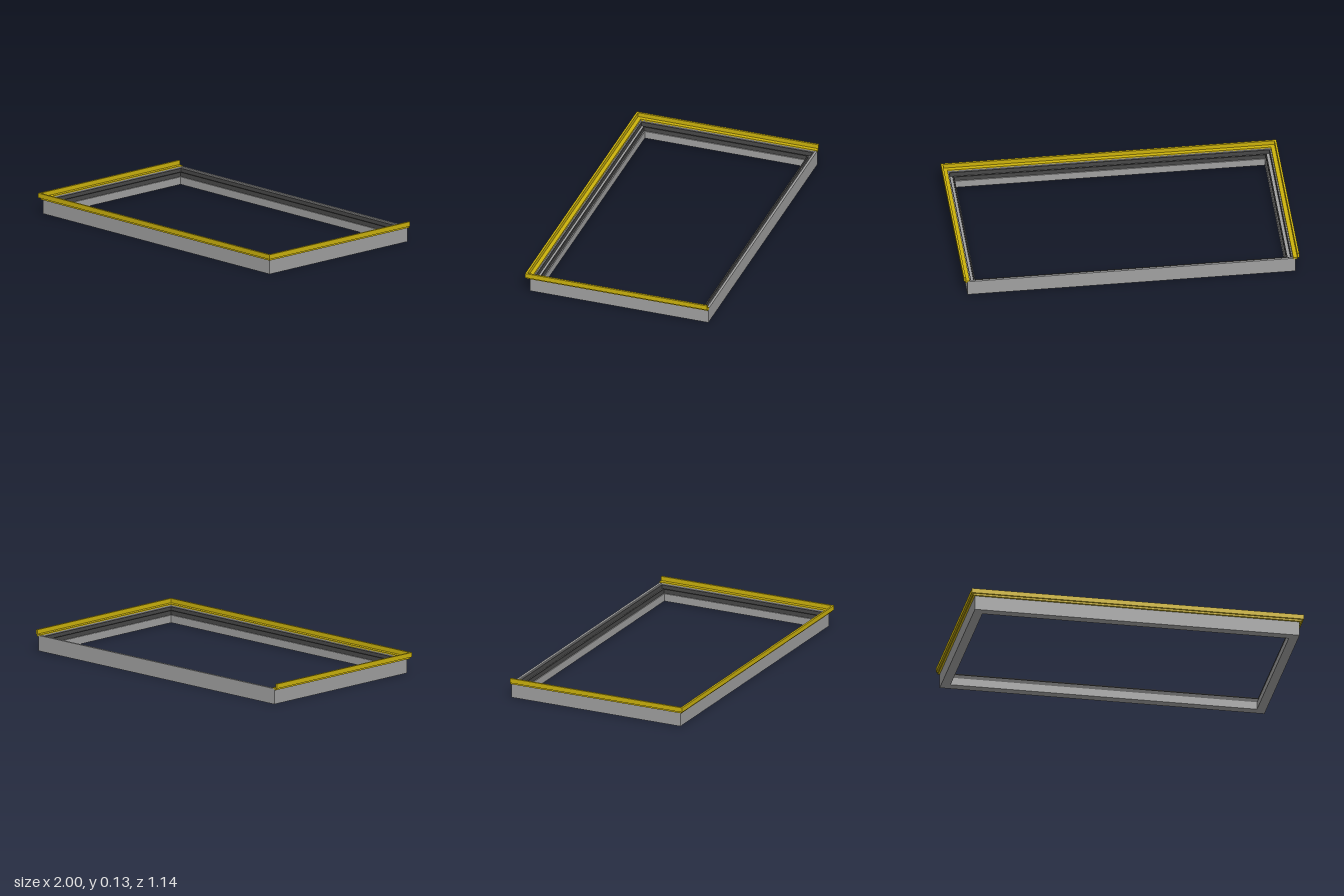
import * as THREE from 'three';

// Sweep a profile of [inset, y] points along a rectangular path with mitred corners.
// The profile runs up the outside first, then inwards and down the inside.
// Each corner is a function giving [x, z] for an inset.
function sweep(profile, corners, closed) {
  const pos = [];
  const at = (corner, p) => {
    const [x, z] = corner(p[0]);
    return [x, p[1], z];
  };
  const n = profile.length;
  const segments = closed ? corners.length : corners.length - 1;
  for (let i = 0; i < segments; i++) {
    const a = corners[i], b = corners[(i + 1) % corners.length];
    for (let j = 0; j < n; j++) {
      const p = profile[j], q = profile[(j + 1) % n];
      const a0 = at(a, p), b0 = at(b, p), a1 = at(a, q), b1 = at(b, q);
      pos.push(...a0, ...b0, ...b1, ...a0, ...b1, ...a1);
    }
  }
  // End caps of an open run
  if (!closed) {
    const faces = THREE.ShapeUtils.triangulateShape(profile.map(p => new THREE.Vector2(...p)), []);
    for (const c of [corners[0], corners[corners.length - 1]])
      for (const f of faces) for (const k of f) pos.push(...at(c, profile[k]));
  }
  const geometry = new THREE.BufferGeometry();
  geometry.setAttribute('position', new THREE.Float32BufferAttribute(pos, 3));
  geometry.computeVertexNormals();
  return geometry;
}

// Rectangular bar profile
const bar = (u0, u1, y0, y1) => [[u0, y0], [u0, y1], [u1, y1], [u1, y0]];

export function createModel() {
  const group = new THREE.Group();
  const grey = new THREE.MeshStandardMaterial({ color: 0xa0a0a0 });
  const dark = new THREE.MeshStandardMaterial({ color: 0x484848 });
  const yellow = new THREE.MeshStandardMaterial({ color: 0xccb20c, side: THREE.DoubleSide });
  const add = (name, geometry, material) => {
    const mesh = new THREE.Mesh(geometry, material);
    mesh.name = name;
    group.add(mesh);
  };

  const W = 0.978, FRONT = 0.55, BACK = -0.57;
  const ring = [
    u => [W - u, FRONT - u],
    u => [W - u, BACK + u],
    u => [-W + u, BACK + u],
    u => [-W + u, FRONT - u],
  ];

  // Grey frame with a stepped inner rebate
  const frameProfile = [
    [0, 0], [0, 0.094], [0.014, 0.094], [0.014, 0.087], [0.018, 0.087], [0.018, 0.06],
    [0.042, 0.06], [0.042, 0.046], [0.055, 0.046], [0.055, 0],
  ];
  add('frame', sweep(frameProfile, ring, true), grey);

  // Dark seals lining the rebate and the inner ledge
  add('outerSeal', sweep(bar(0.018, 0.024, 0.06, 0.087), ring, true), dark);
  add('innerSeal', sweep(bar(0.042, 0.049, 0.046, 0.072), ring, true), dark);

  // Yellow angle trim on the two sides and the front: upright lip over a flat flange
  const trimProfile = [
    [0.01, 0.087], [0.01, 0.098], [0, 0.098], [0, 0.126],
    [0.012, 0.126], [0.012, 0.1], [0.036, 0.1], [0.036, 0.087],
  ];
  const T = 1, TF = 0.572;
  add('edgeTrim', sweep(trimProfile, [
    u => [-T + u, BACK],
    u => [-T + u, TF - u],
    u => [T - u, TF - u],
    u => [T - u, BACK],
  ], false), yellow);

  return group;
}
